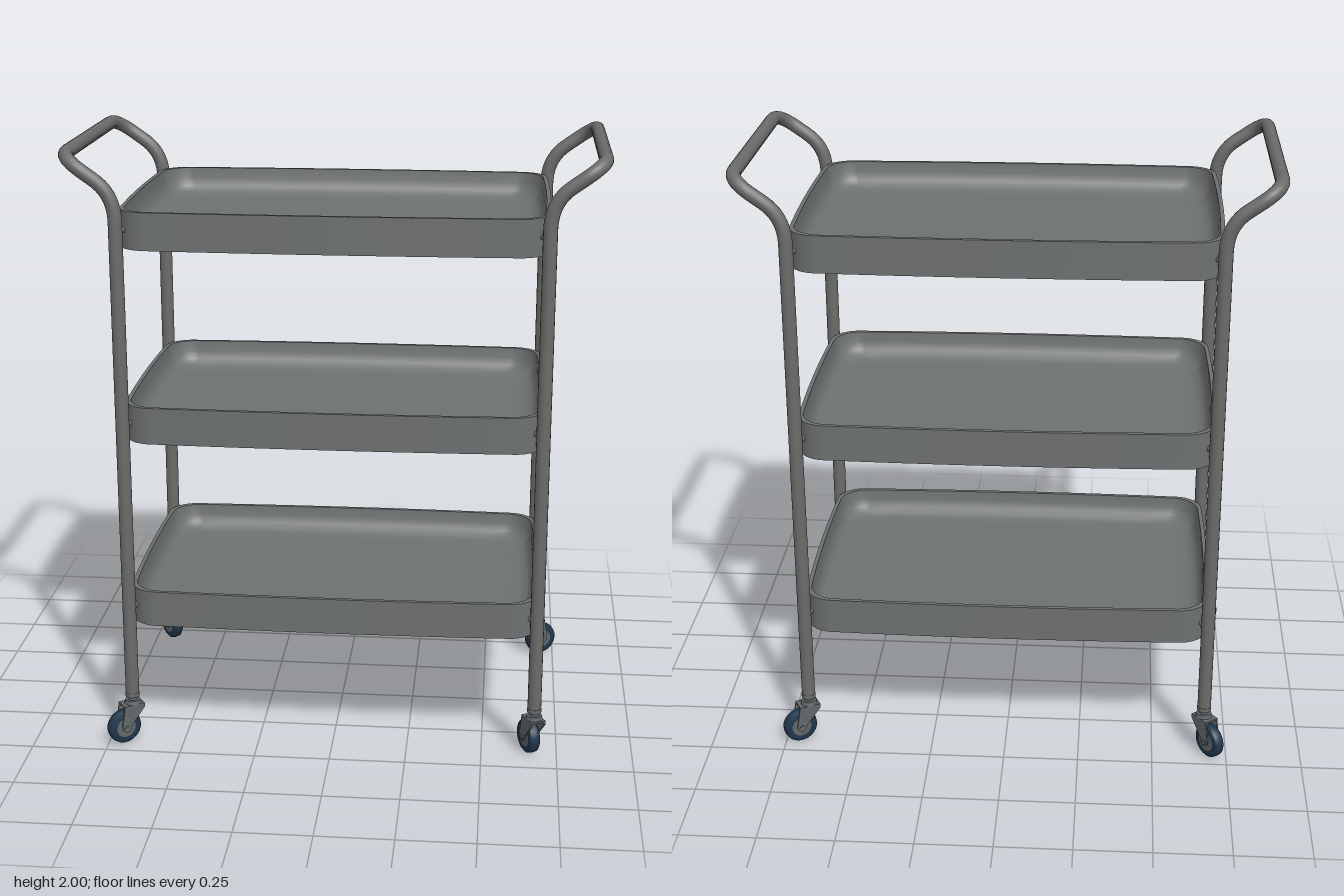
import * as THREE from 'three';

const mat = (name, color, side = THREE.FrontSide) => {
  const m = new THREE.MeshStandardMaterial({ color, side });
  m.name = name;
  return m;
};

const POST_X = 0.672, POST_Z = 0.413, TUBE_R = 0.0225;

// Rounded, slightly bowed rectangle, shrunk by an inset
function outline(inset) {
  const a = 0.666, b = 0.43, r = 0.085, pts = [];
  const corners = [[1, 1], [-1, 1], [-1, -1], [1, -1]];
  const raw = [];
  corners.forEach(([sx, sz], q) => {
    for (let i = 0; i <= 10; i++) {
      const t = (q + i / 10) * Math.PI / 2;
      raw.push([sx * (a - r) + r * Math.cos(t), sz * (b - r) + r * Math.sin(t)]);
    }
  });
  raw.forEach((p, i) => {
    pts.push(p);
    // Divide the long edges so that they can bow outwards
    if (i % 11 === 10) {
      const n = raw[(i + 1) % raw.length];
      for (let k = 1; k < 12; k++) {
        const t = k / 12;
        pts.push([p[0] + (n[0] - p[0]) * t, p[1] + (n[1] - p[1]) * t]);
      }
    }
  });
  return pts.map(([x, z]) => [
    x * (1 + 0.018 * (1 - (z / b) ** 2)) * (1 - inset / a),
    z * (1 + 0.032 * (1 - (x / a) ** 2)) * (1 - inset / b),
  ]);
}

// Skin a profile of [inset, y] around the outline; inset null is the centre
function loft(profile) {
  const pos = [], idx = [];
  const n = outline(0).length;
  profile.forEach(([inset, y]) => {
    const ring = outline(inset === null ? 0 : inset);
    ring.forEach(([x, z]) => (inset === null ? pos.push(0, y, 0) : pos.push(x, y, z)));
  });
  for (let k = 0; k < profile.length - 1; k++) {
    for (let i = 0; i < n; i++) {
      const j = (i + 1) % n;
      const a = k * n + i, b = k * n + j, c = a + n, d = b + n;
      if (profile[k][0] !== null) idx.push(a, c, b);
      if (profile[k + 1][0] !== null) idx.push(b, c, d);
    }
  }
  const g = new THREE.BufferGeometry();
  g.setAttribute('position', new THREE.Float32BufferAttribute(pos, 3));
  g.setIndex(idx);
  g.computeVertexNormals();
  return g;
}

export function createModel() {
  const model = new THREE.Group();
  const frameMat = mat('frame grey', 0x6b6b6a);
  const trayMat = mat('tray grey', 0x6d7170);
  const forkMat = mat('caster steel', 0x62676a);
  const tyreMat = mat('tyre dark blue', 0x20364b);

  const add = (parent, name, geo, material, x = 0, y = 0, z = 0) => {
    const m = new THREE.Mesh(geo, material);
    m.name = name;
    m.position.set(x, y, z);
    parent.add(m);
    return m;
  };

  // Trays: wall, rim, dished inside and flat underside
  const trayParts = {
    trayWall: loft([[0, 0], [0, 0.12]]),
    trayRim: loft([[0, 0.12], [0.013, 0.12]]),
    trayInside: loft([[0.013, 0.12], [0.016, 0.085], [0.024, 0.058], [0.038, 0.041],
      [0.06, 0.033], [0.09, 0.03], [0.11, 0.03]]),
    trayFloor: loft([[0.11, 0.03], [null, 0.03]]),
    trayUnderside: loft([[null, 0], [0, 0]]),
  };
  [0.43, 1.06, 1.69].forEach((y, i) => {
    const tray = new THREE.Group();
    tray.name = ['lowerTray', 'middleTray', 'upperTray'][i];
    tray.position.y = y;
    Object.entries(trayParts).forEach(([name, geo]) => add(tray, name, geo, trayMat));
    // Pins joining the tray corners to the posts
    for (const sx of [-1, 1]) for (const sz of [-1, 1]) {
      const pin = add(tray, 'mountingPin', new THREE.CylinderGeometry(0.01, 0.01, 0.05, 10),
        frameMat, sx * 0.653, 0.06, sz * 0.403);
      pin.rotation.set(Math.PI / 2, 0, 0);
      pin.rotation.z = -sx * sz * Math.PI / 4;
    }
    model.add(tray);
  });

  // Side frames: two posts joined by an outward-leaning handle
  const V = (x, y, z) => new THREE.Vector3(x, y, z);
  for (const s of [-1, 1]) {
    const half = (sz) => [
      V(s * POST_X, 0.17, sz * POST_Z), V(s * POST_X, 1.775, sz * POST_Z),
      V(s * POST_X, 1.86, sz * POST_Z), V(s * 0.732, 1.904, sz * POST_Z),
      V(s * 0.77, 1.931, sz * POST_Z), V(s * 0.836, 1.978, sz * POST_Z),
      V(s * 0.836, 1.978, sz * 0.32),
    ];
    const f = half(1), b = half(-1);
    const path = new THREE.CurvePath();
    path.add(new THREE.LineCurve3(f[0], f[1]));
    path.add(new THREE.QuadraticBezierCurve3(f[1], f[2], f[3]));
    path.add(new THREE.LineCurve3(f[3], f[4]));
    path.add(new THREE.QuadraticBezierCurve3(f[4], f[5], f[6]));
    path.add(new THREE.LineCurve3(f[6], b[6]));
    path.add(new THREE.QuadraticBezierCurve3(b[6], b[5], b[4]));
    path.add(new THREE.LineCurve3(b[4], b[3]));
    path.add(new THREE.QuadraticBezierCurve3(b[3], b[2], b[1]));
    path.add(new THREE.LineCurve3(b[1], b[0]));
    add(model, s > 0 ? 'leftFrame' : 'rightFrame',
      new THREE.TubeGeometry(path, 280, TUBE_R, 16), frameMat);
  }

  // Caster shapes; the wheel trails along local +x
  const TRAIL = 0.035, AXLE_Y = 0.061, WHEEL_R = 0.058;
  const cheek = new THREE.Shape();
  cheek.moveTo(-0.032, 0.138);
  cheek.lineTo(0.04, 0.138);
  cheek.lineTo(0.052, 0.066);
  cheek.quadraticCurveTo(0.048, 0.046, 0.034, 0.046);
  cheek.quadraticCurveTo(0.02, 0.048, 0.016, 0.07);
  cheek.lineTo(-0.032, 0.126);
  cheek.closePath();
  const cheekGeo = new THREE.ExtrudeGeometry(cheek, { depth: 0.005, bevelEnabled: false });
  const tyreGeo = new THREE.LatheGeometry([[0.034, -0.018], [0.05, -0.018], [0.056, -0.013],
    [WHEEL_R, 0], [0.056, 0.013], [0.05, 0.018], [0.034, 0.018]]
    .map(([x, y]) => new THREE.Vector2(x, y)), 28).rotateX(Math.PI / 2);
  const hubGeo = new THREE.CylinderGeometry(0.036, 0.036, 0.034, 24).rotateX(Math.PI / 2);
  const axleGeo = new THREE.CylinderGeometry(0.009, 0.009, 0.058, 12).rotateX(Math.PI / 2);

  // Each caster is swivelled its own way
  [
    ['frontLeftCaster', 1, 1, -0.45, -0.9],
    ['frontRightCaster', -1, 1, -0.8, 0.6],
    ['backLeftCaster', 1, -1, 0.87, -0.47],
    ['backRightCaster', -1, -1, -0.62, -0.78],
  ].forEach(([name, sx, sz, dx, dz]) => {
    const c = new THREE.Group();
    c.name = name;
    c.position.set(sx * POST_X, 0, sz * POST_Z);
    c.rotation.y = Math.atan2(-dz, dx);
    add(c, 'postCap', new THREE.CylinderGeometry(0.0235, 0.0235, 0.014, 18), frameMat, 0, 0.171, 0);
    add(c, 'stem', new THREE.CylinderGeometry(0.016, 0.016, 0.04, 14), forkMat, 0, 0.153, 0);
    add(c, 'swivelRing', new THREE.CylinderGeometry(0.025, 0.028, 0.012, 18), forkMat, 0, 0.146, 0);
    add(c, 'forkTop', new THREE.BoxGeometry(0.072, 0.006, 0.052), forkMat, 0.004, 0.137, 0);
    add(c, 'forkCheek', cheekGeo, forkMat, 0, 0, 0.021);
    add(c, 'forkCheek', cheekGeo, forkMat, 0, 0, -0.026);
    add(c, 'tyre', tyreGeo, tyreMat, TRAIL, AXLE_Y, 0);
    add(c, 'hub', hubGeo, forkMat, TRAIL, AXLE_Y, 0);
    add(c, 'axle', axleGeo, forkMat, TRAIL, AXLE_Y, 0);
    model.add(c);
  });

  return model;
}
